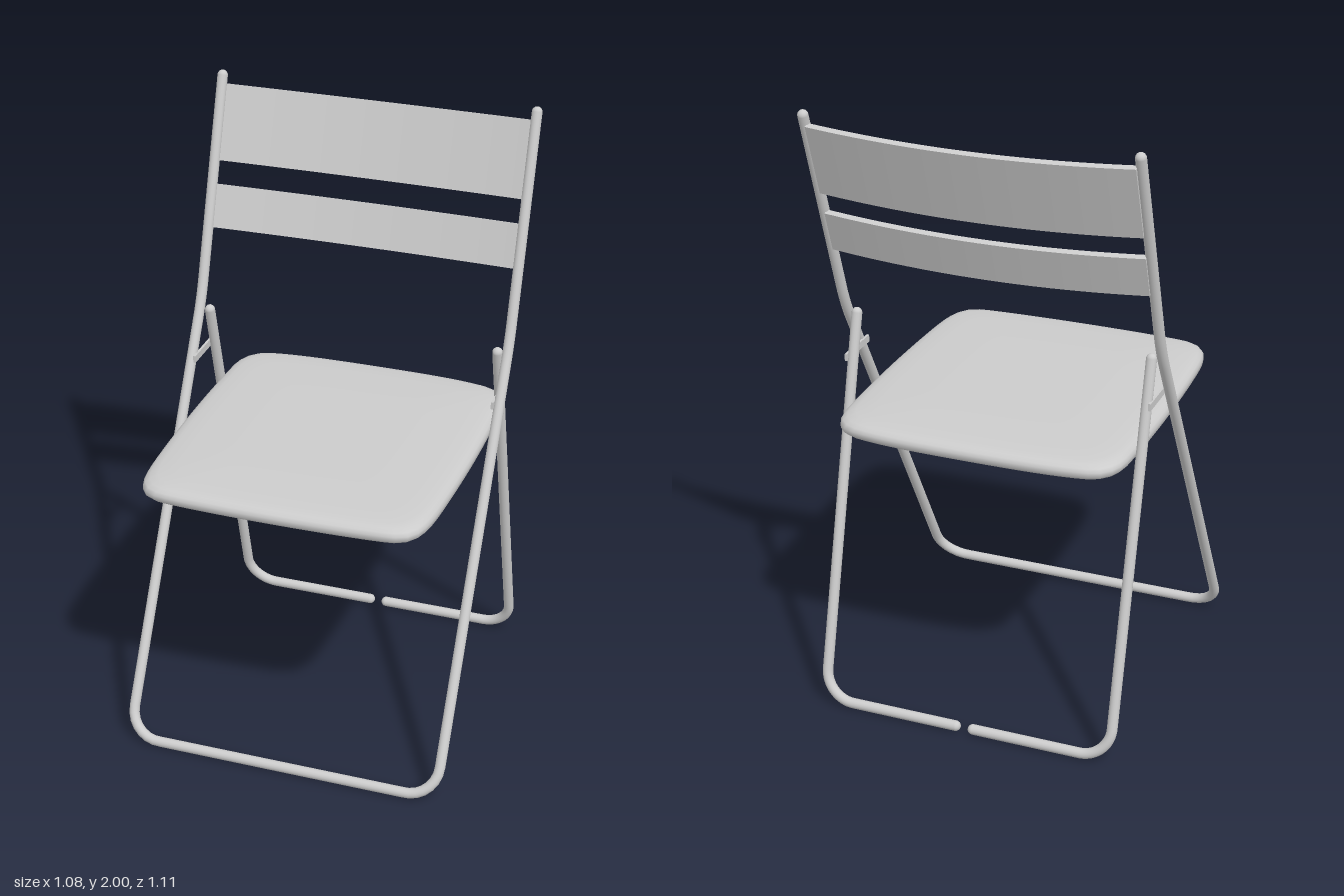
import * as THREE from 'three';

const R = 0.017; // tube radius
const V = (x, y, z) => new THREE.Vector3(x, y, z);
const mat = new THREE.MeshStandardMaterial({ color: 0xcccccc });

function add(parent, name, geometry) {
  const m = new THREE.Mesh(geometry, mat);
  m.name = name;
  parent.add(m);
  return m;
}

// Bent tube through corner points, each corner rounded by its own length, with round ends
function bentTube(name, pts, rounds) {
  const path = new THREE.CurvePath();
  let from = pts[0];
  for (let i = 1; i < pts.length - 1; i++) {
    const c = pts[i], r = rounds[i - 1], k = r * 0.45;
    const back = pts[i - 1].clone().sub(c).normalize();
    const ahead = pts[i + 1].clone().sub(c).normalize();
    const a = c.clone().addScaledVector(back, r);
    const b = c.clone().addScaledVector(ahead, r);
    path.add(new THREE.LineCurve3(from, a));
    path.add(new THREE.CubicBezierCurve3(a, c.clone().addScaledVector(back, k), c.clone().addScaledVector(ahead, k), b));
    from = b;
  }
  path.add(new THREE.LineCurve3(from, pts[pts.length - 1]));
  const g = new THREE.Group();
  g.name = name;
  add(g, name + 'Tube', new THREE.TubeGeometry(path, 220, R, 16, false));
  for (const p of [pts[0], pts[pts.length - 1]]) {
    add(g, name + 'End', new THREE.SphereGeometry(R, 16, 12)).position.copy(p);
  }
  return g;
}

// Backrest slat: bowed plan extruded upward, then leaned back with the frame
const LEAN = 0.334, HALF = 0.515, BOW = 0.035, THICK = 0.02;
function slat(name, y, z, height) {
  const s = new THREE.Shape();
  s.moveTo(-HALF, 0);
  s.quadraticCurveTo(0, BOW * 2, HALF, 0);
  s.lineTo(HALF, THICK);
  s.quadraticCurveTo(0, BOW * 2 + THICK, -HALF, THICK);
  const geo = new THREE.ExtrudeGeometry(s, { depth: height, bevelEnabled: false, curveSegments: 24 });
  geo.rotateX(-Math.PI / 2);
  const g = new THREE.Group();
  add(g, name, geo);
  g.rotation.x = -LEAN;
  g.position.set(0, y, z);
  return g;
}

// Seat cushion: rings of one softly bulging outline, moved inward along an edge profile
function seatGeometry() {
  const s = new THREE.Shape();
  s.moveTo(0, -0.505);
  s.bezierCurveTo(0.2, -0.505, 0.3, -0.5, 0.38, -0.485);
  s.bezierCurveTo(0.44, -0.475, 0.467, -0.43, 0.472, -0.36);
  s.bezierCurveTo(0.483, -0.15, 0.483, 0.1, 0.47, 0.35);
  s.bezierCurveTo(0.462, 0.48, 0.445, 0.53, 0.37, 0.54);
  s.bezierCurveTo(0.25, 0.55, 0.1, 0.552, 0, 0.552);
  const half = s.getSpacedPoints(48);
  const ring = [...half, ...half.slice(1, -1).reverse().map(p => new THREE.Vector2(-p.x, p.y))];
  const n = ring.length, cz = 0.023;
  // inset from the rim, height
  const profile = [[0.5, 0.943], [0.2, 0.943], [0.05, 0.944], [0.025, 0.946], [0.01, 0.952], [0, 0.963],
    [0, 0.978], [0.006, 0.988], [0.018, 0.996], [0.04, 1.002], [0.1, 1.007], [0.25, 1.011], [0.5, 1.013]];
  const pos = [], index = [];
  profile.forEach(([inset, y]) => {
    const k = 1 - inset / 0.5;
    ring.forEach(p => pos.push(p.x * k, y, cz + (p.y - cz) * k));
  });
  for (let j = 0; j < profile.length - 1; j++) {
    for (let i = 0; i < n; i++) {
      const a = j * n + i, b = j * n + (i + 1) % n, c = a + n, d = b + n;
      index.push(a, c, b, b, c, d);
    }
  }
  const g = new THREE.BufferGeometry();
  g.setAttribute('position', new THREE.Float32BufferAttribute(pos, 3));
  g.setIndex(index);
  g.computeVertexNormals();
  // the collapsed centre rings point straight down and up
  const normal = g.attributes.normal, last = (profile.length - 1) * n;
  for (let i = 0; i < n; i++) {
    normal.setXYZ(i, 0, -1, 0);
    normal.setXYZ(last + i, 0, 1, 0);
  }
  return g;
}

export function createModel() {
  const chair = new THREE.Group();
  chair.name = 'foldingChair';

  // Front legs and back posts are one continuous tube
  const X = 0.525;
  chair.add(bentTube('frontFrame', [
    V(-X, 1.983, -0.461), V(-X, 1.29, -0.225), V(-X, 0.02, 0.507),
    V(X, 0.02, 0.507), V(X, 1.29, -0.225), V(X, 1.983, -0.461)
  ], [0.06, 0.1, 0.1, 0.06]));

  // Rear legs, with a gap in the middle of the floor bar
  for (const side of [1, -1]) {
    const x = side * 0.491;
    chair.add(bentTube(side > 0 ? 'leftRearLeg' : 'rightRearLeg', [
      V(x, 1.258, -0.212), V(x, 0.02, -0.542), V(side * 0.03, 0.02, -0.542)
    ], [0.1]));
    // Folding link between front and rear legs
    add(chair, side > 0 ? 'leftLink' : 'rightLink', new THREE.BoxGeometry(0.008, 0.024, 0.168))
      .position.set(side * 0.507, 1.122, -0.187);
  }

  chair.add(slat('upperSlat', 1.722, -0.372, 0.249));
  chair.add(slat('lowerSlat', 1.514, -0.3, 0.142));
  add(chair, 'seat', seatGeometry());
  return chair;
}
